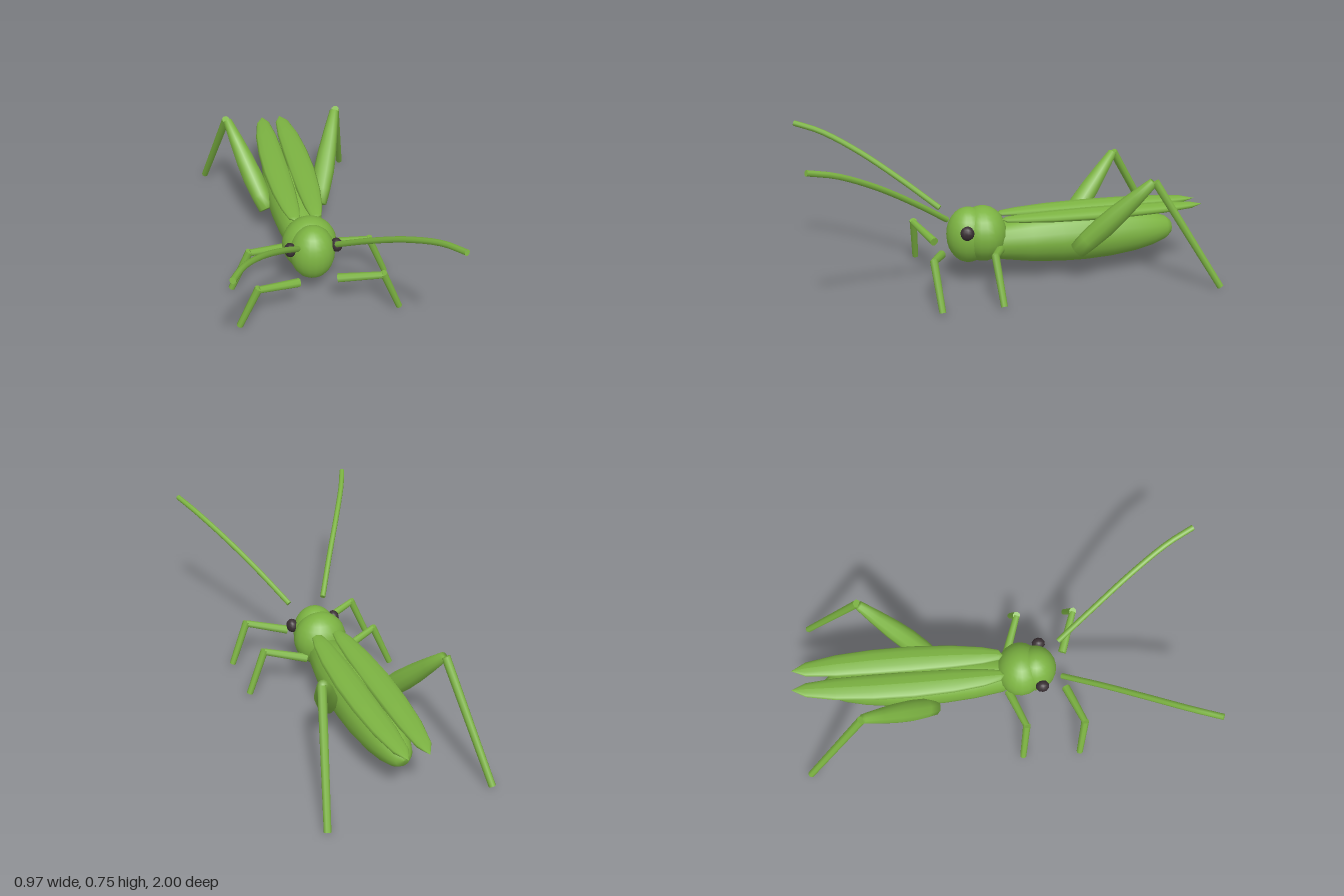
import * as THREE from 'three';

const green = new THREE.MeshStandardMaterial({ color: 0x7cb342 });
green.name = 'leafGreen';
const dark = new THREE.MeshStandardMaterial({ color: 0x3a3034 });
dark.name = 'eyeDark';

const V = (x, y, z) => new THREE.Vector3(x, y, z);
const UP = V(0, 1, 0);

export function createModel() {
  const model = new THREE.Group();
  model.name = 'grasshopper';

  const add = (name, geometry, material = green) => {
    const mesh = new THREE.Mesh(geometry, material);
    mesh.name = name;
    model.add(mesh);
    return mesh;
  };
  // Ellipsoid with centre c and radii r
  const ball = (name, c, r, material, w = 20, h = 14) => {
    const g = new THREE.SphereGeometry(1, w, h);
    g.scale(...r).translate(...c);
    return add(name, g, material);
  };
  // Rounded form along z, from [z, radius] stations running front to back
  const spindle = (stations, sides) => {
    const points = stations.map(([z, r]) => new THREE.Vector2(r, -z));
    return new THREE.LatheGeometry(points, sides).rotateX(-Math.PI / 2);
  };
  // Aim a geometry running along +y from the origin so that it goes from a to b
  const aim = (g, a, b) => {
    const q = new THREE.Quaternion().setFromUnitVectors(UP, b.clone().sub(a).normalize());
    return g.applyQuaternion(q).translate(a.x, a.y, a.z);
  };
  const rod = (name, a, b, r0, r1) => {
    const len = a.distanceTo(b);
    const g = new THREE.CylinderGeometry(r1, r0, len, 8).translate(0, len / 2, 0);
    return add(name, aim(g, a, b));
  };

  // Abdomen, thorax and head
  add('abdomen', spindle([
    [0.12, 0], [0.10, 0.05], [0.05, 0.092], [-0.1, 0.115], [-0.25, 0.127], [-0.38, 0.13],
    [-0.52, 0.124], [-0.65, 0.108], [-0.75, 0.086], [-0.82, 0.06], [-0.85, 0.035], [-0.86, 0],
  ], 16).translate(0, 0.2, 0));
  ball('thorax', [0, 0.247, 0.135], [0.134, 0.138, 0.118]);
  ball('head', [0, 0.246, 0.208], [0.11, 0.139, 0.108]);

  for (const [side, s] of [['left', 1], ['right', -1]]) {
    ball(side + 'Eye', [s * 0.113, 0.289, 0.235], [0.029, 0.035, 0.034], dark, 10, 8);

    // Wing: flattened spindle that bows gently outwards
    const wing = spindle([
      [0.05, 0], [0.03, 0.028], [-0.05, 0.045], [-0.2, 0.06], [-0.4, 0.068],
      [-0.6, 0.066], [-0.78, 0.057], [-0.93, 0.036], [-1, 0],
    ], 12).scale(1, 0.4, 1);
    const p = wing.attributes.position;
    for (let i = 0; i < p.count; i++) {
      const t = (p.getZ(i) + 0.45) / 0.55;
      p.setX(i, p.getX(i) + s * (0.067 - 0.017 * t * t));
      p.setY(i, p.getY(i) + 0.325);
    }
    wing.computeVertexNormals();
    add(side + 'Wing', wing);

    // Antenna: curved tube with closed ends
    const curve = new THREE.CatmullRomCurve3([
      V(s * 0.093, 0.362, 0.33), V(s * 0.2, 0.492, 0.505), V(s * 0.315, 0.615, 0.69),
      V(s * 0.415, 0.705, 0.865), V(s * 0.472, 0.742, 0.99),
    ]);
    add(side + 'Antenna', new THREE.TubeGeometry(curve, 16, 0.014, 8));
    for (const t of [0, 1]) {
      const cap = add(side + 'AntennaCap', new THREE.CircleGeometry(0.014, 8));
      const at = curve.getPoint(t);
      cap.position.copy(at);
      cap.lookAt(at.clone().addScaledVector(curve.getTangent(t), t ? 1 : -1));
    }

    // Two pairs of slender walking legs
    for (const [pair, z] of [['Front', 0.29], ['Middle', 0]]) {
      const knee = V(s * 0.295, 0.23, z + 0.142);
      rod(side + pair + 'UpperLeg', V(s * 0.095, 0.187, z + 0.07), knee, 0.022, 0.017);
      rod(side + pair + 'LowerLeg', knee.clone().add(V(0, 0.01, 0)), V(s * 0.388, 0.014, z + 0.122), 0.019, 0.016);
    }

    // Jumping leg: swollen thigh and long shin
    const hip = V(s * 0.138, 0.165, -0.31), knee = V(s * 0.288, 0.532, -0.633);
    const len = hip.distanceTo(knee);
    const thigh = new THREE.LatheGeometry([
      [0, 0], [0.043, 0], [0.05, 0.15], [0.054, 0.35], [0.049, 0.55], [0.037, 0.78], [0.023, 1], [0, 1],
    ].map(([r, t]) => new THREE.Vector2(r, t * len)), 10);
    add(side + 'HindThigh', aim(thigh, hip, knee));
    rod(side + 'HindShin', V(s * 0.295, 0.535, -0.64), V(s * 0.398, 0.01, -0.96), 0.021, 0.017);
  }
  return model;
}
